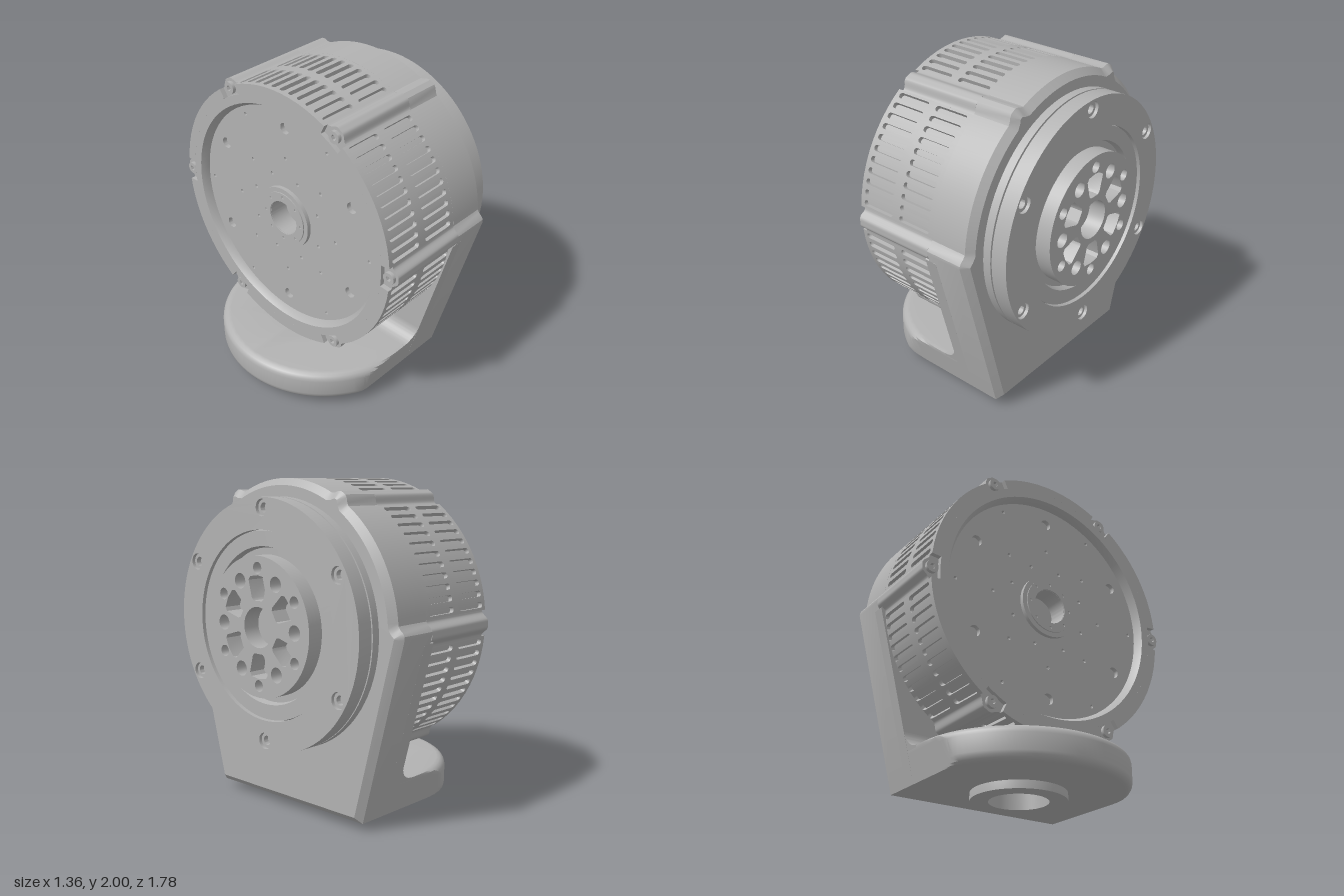
import * as THREE from 'three';
import { mergeGeometries, toCreasedNormals } from 'three/addons/utils/BufferGeometryUtils.js';

const V = (x, y) => new THREE.Vector2(x, y);
const polar = (r, deg) => V(r * Math.cos(deg * Math.PI / 180), r * Math.sin(deg * Math.PI / 180));
const SIXTH = Math.PI / 3;
const R = 0.85; // drum radius

export function createModel() {
  const model = new THREE.Group();
  const grey = new THREE.MeshStandardMaterial({ color: 0xb2b2b2 });
  grey.name = 'cast grey';

  // Everything inside this group turns around the x axis
  const motor = new THREE.Group();
  motor.name = 'motor';
  motor.position.y = 1.15;
  model.add(motor);

  const add = (parent, name, geometry, angle = 0) => {
    const mesh = new THREE.Mesh(geometry, grey);
    mesh.name = name;
    mesh.rotation.x = -angle;
    parent.add(mesh);
    return mesh;
  };
  const crease = (g, a = 0.55) => toCreasedNormals(g, a);

  // Profile of [radius, x] points spun around the x axis
  const spin = (points, segments = 96) => {
    const g = new THREE.LatheGeometry(points.map(([r, x]) => V(r, x)), segments);
    return crease(g.rotateZ(-Math.PI / 2));
  };
  const circle = (r, cx = 0, cy = 0, n = 24) =>
    Array.from({ length: n }, (_, i) => polar(r, i * 360 / n).add(V(cx, cy)));
  const ringOfHoles = (r, at, start, n = 6, sides = 20) =>
    Array.from({ length: n }, (_, i) => {
      const c = polar(at, start + i * 360 / n);
      return circle(r, c.x, c.y, sides);
    });
  // Outline with holes, extruded along x from x0 to x1
  const plate = (outline, holes, x0, x1) => {
    const shape = new THREE.Shape(outline);
    shape.holes = holes.map(h => new THREE.Path(h));
    const g = new THREE.ExtrudeGeometry(shape, { depth: x1 - x0, bevelEnabled: false });
    return crease(g.translate(0, 0, x0).rotateY(Math.PI / 2));
  };

  // Drum radius including the six ribs
  const rimRadius = deg => {
    const d = Math.abs(deg - Math.round(deg / 60) * 60);
    return R + 0.04 * (1 - THREE.MathUtils.smoothstep(d, 1.2, 4.8));
  };

  // Drum core with recessed back and central boss
  add(motor, 'drumCore', spin([
    [0, -0.22], [0.11, -0.22], [0.11, -0.345], [0.2, -0.345], [0.2, -0.29], [0.71, -0.29],
    [0.71, -0.325], [0.735, -0.37], [0.79, -0.37], [0.79, -0.34], [0.825, -0.34], [0.825, 0.2], [0, 0.2],
  ]));
  add(motor, 'backPlate', plate(circle(0.715, 0, 0, 96), [
    circle(0.19, 0, 0, 48), ...ringOfHoles(0.035, 0.6, 30), ...ringOfHoles(0.012, 0.4, 0, 8, 8),
    ...ringOfHoles(0.012, 0.28, 20, 8, 8), ...ringOfHoles(0.012, 0.66, 0, 6, 8),
  ], -0.32, -0.28));
  add(motor, 'bossHoles', plate(circle(0.17, 0, 0, 48),
    [circle(0.112, 0, 0, 32), ...ringOfHoles(0.01, 0.145, 0, 8, 8)], -0.352, -0.34));

  // One vent cell: a small panel with a rounded slot, bent to the drum
  const pitch = 4.5 * Math.PI / 180;
  const ventCell = centre => {
    const hw = 0.1425, hh = pitch * R / 2, sl = 0.097, sr = 0.0175;
    const shape = new THREE.Shape([V(-hw, -hh), V(hw, -hh), V(hw, hh), V(-hw, hh)]);
    const slot = new THREE.Path();
    slot.absarc(sl, 0, sr, -Math.PI / 2, Math.PI / 2, false);
    slot.absarc(-sl, 0, sr, Math.PI / 2, Math.PI * 1.5, false);
    shape.holes.push(slot);
    const g = new THREE.ExtrudeGeometry(shape, { depth: 0.06, bevelEnabled: false, curveSegments: 6 });
    const p = g.attributes.position, n = g.attributes.normal;
    for (let i = 0; i < p.count; i++) {
      const t = p.getY(i) / R, r = 0.79 + p.getZ(i), s = Math.sin(t), c = Math.cos(t);
      const ny = n.getY(i), nz = n.getZ(i);
      p.setXYZ(i, p.getX(i) + centre, r * s, r * c);
      n.setXYZ(i, n.getX(i), ny * c + nz * s, nz * c - ny * s);
    }
    return g;
  };
  const cells = [ventCell(-0.2275), ventCell(0.0575)];
  const row = [];
  for (let i = -5; i <= 5; i++) for (const c of cells) row.push(c.clone().rotateX(-i * pitch));
  const ventPanel = mergeGeometries(row);

  // Rib between vent panels, with a screw in the notch behind it
  const ribOutline = [polar(0.78, -5.3)];
  for (let d = -5.3; d <= 5.31; d += 0.53) ribOutline.push(polar(rimRadius(d), d));
  ribOutline.push(polar(0.78, 5.3));
  const rib = plate(ribOutline, [], -0.34, 0.2);
  const screw = plate(circle(0.038, 0.835), [circle(0.018, 0.835, 0, 6)], -0.362, -0.33);
  for (let i = 0; i < 6; i++) {
    add(motor, 'ventPanel', ventPanel, (i + 0.5) * SIXTH);
    add(motor, 'drumRib', rib, i * SIXTH);
    add(motor, 'rearScrew', screw, i * SIXTH);
  }

  // Housing: ribbed round top, tapering to the foot, chamfered front edge
  const outline = [V(-0.6, -1.1), V(0.6, -1.1)];
  for (let i = 0; i <= 150; i++) outline.push(polar(rimRadius(i * 1.2), i * 1.2));
  const housing = new THREE.ExtrudeGeometry(new THREE.Shape(outline), {
    depth: 0.24, bevelThickness: 0.04, bevelSize: 0.04, bevelOffset: -0.04, bevelSegments: 1,
  });
  const hp = housing.attributes.position;
  for (let i = 0; i < hp.count; i++) hp.setZ(i, Math.max(hp.getZ(i), 0)); // flat back
  add(motor, 'housing', crease(housing.translate(0, 0, 0.2).rotateY(Math.PI / 2), 0.5));
  add(motor, 'upright', plate(
    [V(-0.6, -1.1), V(0.6, -1.1), V(0.877, -0.05), V(0.86, -0.03), V(-0.86, -0.03), V(-0.877, -0.05)],
    [], 0.17, 0.25));

  // Output flange with groove, bolt holes and inner ring
  add(motor, 'flangeBody', spin([
    [0.7, 0.46], [0.745, 0.46], [0.745, 0.53], [0.73, 0.53], [0.73, 0.59], [0.562, 0.59], [0.555, 0.62],
    [0.465, 0.62], [0.455, 0.58], [0.4, 0.58], [0.4, 0.57], [0, 0.57],
  ]));
  add(motor, 'flangeFace', plate(circle(0.745, 0, 0, 96),
    [circle(0.56, 0, 0, 96), ...ringOfHoles(0.05, 0.685, 30)], 0.54, 0.64));
  const bolt = plate(circle(0.047, 0.685), [circle(0.028, 0.685)], 0.58, 0.622);
  for (let i = 0; i < 6; i++) add(motor, 'flangeBolt', bolt, (i + 0.5) * SIXTH);

  // Hub with lightening pockets and holes
  const half = [V(0.035, 0.155), V(0.05, 0.17), V(0.076, 0.272), V(0.062, 0.294)];
  const pocket = [...half, V(0, 0.303), ...half.map(p => V(-p.x, p.y)).reverse()];
  const pockets = Array.from({ length: 6 }, (_, i) =>
    pocket.map(p => p.clone().rotateAround(V(0, 0), i * SIXTH)));
  add(motor, 'hub', plate(circle(0.415, 0, 0, 96), [
    circle(0.12, 0, 0, 48), ...pockets, ...ringOfHoles(0.046, 0.3, 0), ...ringOfHoles(0.035, 0.345, 30),
  ], 0.55, 0.68));

  // Keep base sides flush with the tapering upright
  const trimSides = g => {
    const p = g.attributes.position;
    for (let i = 0; i < p.count; i++) {
      const limit = 0.6 + 0.259 * (p.getY(i) - 0.05);
      p.setZ(i, THREE.MathUtils.clamp(p.getZ(i), -limit, limit));
    }
    return crease(g, 0.5);
  };

  // Rounded base
  const plan = [V(0.3, 0.68)];
  for (let a = 90; a <= 270; a += 3) plan.push(polar(0.68, a));
  plan.push(V(0.3, -0.68));
  const baseShape = new THREE.Shape(plan);
  baseShape.holes.push(new THREE.Path(circle(0.2, 0, 0, 48)));
  const base = new THREE.ExtrudeGeometry(baseShape, {
    depth: 0.1, bevelThickness: 0.05, bevelSize: 0.05, bevelOffset: -0.05, bevelSegments: 4,
  });
  add(model, 'base', trimSides(base.rotateX(-Math.PI / 2).translate(0, 0.1, 0)));

  // Fillet between base and upright
  const curve = new THREE.Shape();
  curve.moveTo(0.07, 0.23).lineTo(0.19, 0.23).lineTo(0.19, 0.35).lineTo(0.17, 0.35);
  curve.absarc(0.07, 0.35, 0.1, 0, -Math.PI / 2, true);
  const fillet = new THREE.ExtrudeGeometry(curve, { depth: 1.4, bevelEnabled: false, curveSegments: 10 });
  add(model, 'baseFillet', trimSides(fillet.translate(0, 0, -0.7)));

  // Hollow mounting foot
  const foot = new THREE.LatheGeometry(
    [V(0.18, 0.245), V(0.18, 0), V(0.29, 0), V(0.29, 0.06), V(0.26, 0.245), V(0.18, 0.245)], 64);
  add(model, 'mountingFoot', crease(foot)).position.x = -0.02;

  return model;
}
